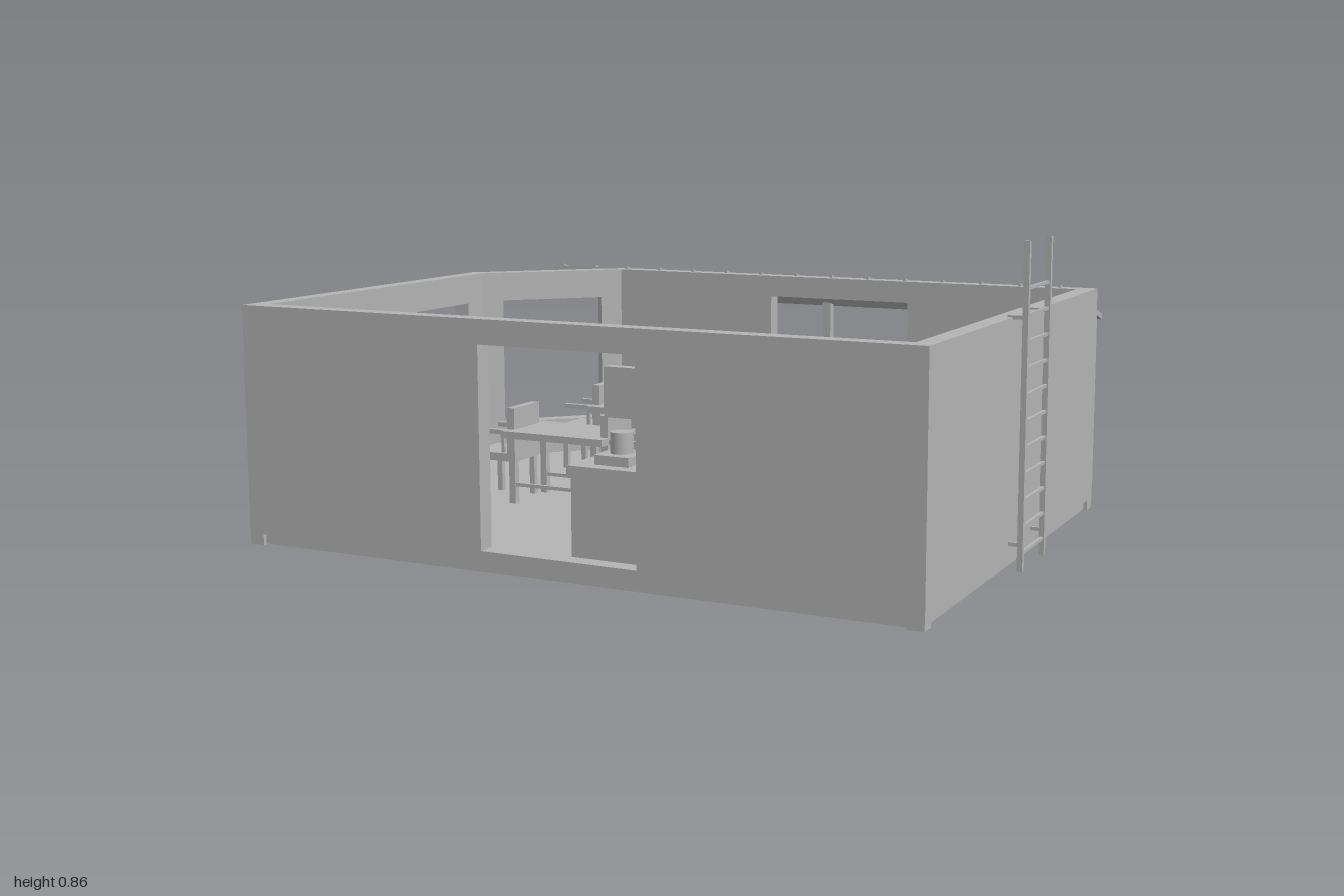
import * as THREE from 'three';

const grey = new THREE.MeshStandardMaterial({ color: 0xb4b4b4 });
grey.name = 'plain grey';
const T = 0.05; // wall thickness
const FLOOR = 0.06;

function add(parent, geo, name) {
  const m = new THREE.Mesh(geo, grey);
  m.name = name;
  parent.add(m);
  return m;
}
function group(parent, name) {
  const g = new THREE.Group();
  g.name = name;
  parent.add(g);
  return g;
}
// box given by its limits on each axis
function box(parent, name, x0, x1, y0, y1, z0, z1) {
  const m = add(parent, new THREE.BoxGeometry(x1 - x0, y1 - y0, z1 - z0), name);
  m.position.set((x0 + x1) / 2, (y0 + y1) / 2, (z0 + z1) / 2);
  return m;
}
function cyl(parent, name, r, y0, y1, x, z, sides = 20) {
  const m = add(parent, new THREE.CylinderGeometry(r, r, y1 - y0, sides), name);
  m.position.set(x, (y0 + y1) / 2, z);
  return m;
}
// room outline moved inwards by d
const outline = d => [
  [0.96 - d, 0.89 - d], [-1 + d, 0.89 - d], [-1 + d, -0.22 + 0.414 * d],
  [-0.64 + 0.414 * d, -0.58 + d], [0.96 - d, -0.58 + d],
];
function slab(parent, name, pts, y0, y1) {
  const shape = new THREE.Shape(pts.map(p => new THREE.Vector2(p[0], -p[1])));
  const geo = new THREE.ExtrudeGeometry(shape, { depth: y1 - y0, bevelEnabled: false });
  geo.rotateX(-Math.PI / 2);
  geo.translate(0, y0, 0);
  add(parent, geo, name);
}
// wall from a to b with one optional opening [s0, s1, y0, y1] and mitred ends
function wall(parent, name, a, b, k0, k1, hole) {
  const L = Math.hypot(b[0] - a[0], b[1] - a[1]);
  const rect = (s0, s1, y0, y1) =>
    [[s0, y0], [s1, y0], [s1, y1], [s0, y1]].map(p => new THREE.Vector2(...p));
  const shape = new THREE.Shape(rect(0, L, 0.03, 0.66));
  if (hole) shape.holes.push(new THREE.Path(rect(...hole).reverse()));
  const geo = new THREE.ExtrudeGeometry(shape, { depth: T, bevelEnabled: false });
  const p = geo.attributes.position;
  for (let i = 0; i < p.count; i++) {
    if (p.getZ(i) < T / 2) continue;
    if (p.getX(i) < 1e-5) p.setX(i, k0 * T);
    else if (p.getX(i) > L - 1e-5) p.setX(i, L - k1 * T);
  }
  const dir = new THREE.Vector3((b[0] - a[0]) / L, 0, (b[1] - a[1]) / L);
  const up = new THREE.Vector3(0, 1, 0);
  geo.applyMatrix4(new THREE.Matrix4().makeBasis(dir, up, dir.clone().cross(up)));
  geo.translate(a[0], 0, a[1]);
  geo.computeVertexNormals();
  add(parent, geo, name);
}

function buildRoom(root) {
  const room = group(root, 'room');
  const o = outline(0), q = 0.414;
  wall(room, 'frontWall', o[0], o[1], 1, 1, [0.75, 1.205, FLOOR, 0.595]);
  wall(room, 'leftSideWall', o[1], o[2], 1, q, [0.06, 1.01, 0.17, 0.57]);
  wall(room, 'angledWall', o[2], o[3], q, q, [0.09, 0.42, 0.17, 0.57]);
  wall(room, 'backWall', o[3], o[4], q, 1, [0.565, 1.025, FLOOR, 0.595]);
  wall(room, 'ladderWall', o[4], o[0], 1, 1);
  slab(room, 'floor', outline(T), 0.03, FLOOR);
  slab(room, 'base', outline(0.012), 0.002, 0.031);
  // feet under the corners
  for (const [x, z] of [[0.937, 0.867], [-0.977, 0.867], [0.937, -0.557]])
    box(room, 'foot', x - 0.022, x + 0.022, 0, 0.03, z - 0.022, z + 0.022);
  box(room, 'foot', -1, -0.965, 0, 0.03, -0.22, -0.18);
  box(room, 'foot', -0.64, -0.6, 0, 0.03, -0.58, -0.545);
  for (const z of [0.14, 0.48])
    box(room, 'windowBar', -0.98, -0.97, 0.17, 0.57, z - 0.005, z + 0.005);
}

function buildAwning(root) {
  const awning = group(root, 'awning');
  const slope = 0.32; // drop per unit of depth
  const y = z => 0.65 + (z + 0.58) * slope;
  // sloping sheet or rib running along z
  const strip = (name, x0, x1, z0, z1, lift, h) => {
    const g = new THREE.BoxGeometry(x1 - x0, h, z1 - z0);
    g.translate((x0 + x1) / 2, 0, (z0 + z1) / 2);
    const p = g.attributes.position;
    for (let i = 0; i < p.count; i++) p.setY(i, p.getY(i) + y(p.getZ(i)) + lift);
    g.computeVertexNormals();
    add(awning, g, name);
  };
  strip('awningSheet', -0.885, 0.895, -0.9, -0.579, -0.008, 0.016);
  strip('awningSheetEnd', -0.885, -0.64, -0.58, -0.54, -0.008, 0.016);
  for (let i = 0; i < 15; i++) {
    const x = -0.855 + i * 0.122;
    strip('awningRib', x - 0.004, x + 0.004, -0.83, -0.55, 0.004, 0.012);
  }
  for (const x of [-0.865, -0.02, 0.87])
    box(awning, 'awningPost', x - 0.014, x + 0.014, 0, 0.55, -0.882, -0.854);
}

function buildLadder(root) {
  const ladder = group(root, 'ladder');
  for (const z of [0.058, 0.256]) {
    box(ladder, 'ladderRail', 0.985, 1, 0, 0.855, z - 0.007, z + 0.007);
    for (const y of [0.07, 0.66])
      box(ladder, 'ladderBracket', 0.945, 0.99, y - 0.005, y + 0.005, z - 0.005, z + 0.005);
  }
  for (let i = 0; i < 11; i++) {
    const y = 0.047 + i * 0.0688;
    box(ladder, 'ladderRung', 0.988, 0.997, y - 0.004, y + 0.004, 0.06, 0.255);
  }
}

// chair with its back at x = 0 and its seat towards +x
function buildChair(parent, x, z, side) {
  const chair = group(parent, 'chair');
  chair.position.set(x, 0, z);
  if (side < 0) chair.rotation.y = Math.PI;
  box(chair, 'chairSeat', 0, 0.145, 0.175, 0.198, -0.068, 0.068);
  box(chair, 'chairBack', 0, 0.025, 0.198, 0.332, -0.068, 0.068);
  for (const s of [-1, 1]) {
    const c = s * 0.055;
    for (const lx of [0.014, 0.126])
      box(chair, 'chairLeg', lx - 0.008, lx + 0.008, FLOOR, 0.176, c - 0.008, c + 0.008);
    box(chair, 'armRest', 0.02, 0.13, 0.252, 0.265, c - 0.008, c + 0.008);
    box(chair, 'armPost', 0.04, 0.05, 0.197, 0.253, c - 0.005, c + 0.005);
  }
}

function buildTable(root, zc) {
  const set = group(root, 'diningSet');
  box(set, 'tableTop', -0.515, -0.18, 0.25, 0.27, zc - 0.102, zc + 0.102);
  for (const x of [-0.482, -0.213])
    for (const s of [-1, 1])
      box(set, 'tableLeg', x - 0.01, x + 0.01, FLOOR, 0.252, zc + s * 0.085 - 0.01, zc + s * 0.085 + 0.01);
  for (const s of [-1, 1])
    box(set, 'tableRail', -0.482, -0.213, 0.11, 0.12, zc + s * 0.085 - 0.005, zc + s * 0.085 + 0.005);
  buildChair(set, -0.205, zc, 1);
  buildChair(set, -0.49, zc, -1);
}

function buildCounter(root) {
  const c = group(root, 'counter');
  box(c, 'counterBody', -0.005, 0.79, FLOOR, 0.272, 0.655, 0.84);
  box(c, 'counterTop', -0.018, 0.8, 0.27, 0.295, 0.64, 0.84);
  for (let i = 0; i < 4; i++) {
    const x = 0.005 + i * 0.196;
    box(c, 'cupboardDoor', x, x + 0.184, 0.08, 0.262, 0.648, 0.656);
    box(c, 'doorHandle', x + 0.155, x + 0.165, 0.15, 0.215, 0.638, 0.649);
  }
  // small grinder and tall jar
  box(c, 'grinderBase', 0.04, 0.14, 0.295, 0.32, 0.69, 0.8);
  cyl(c, 'grinderDrum', 0.03, 0.32, 0.375, 0.09, 0.743);
  const profile = [[0, 0.295], [0.043, 0.295], [0.043, 0.42], [0.057, 0.425], [0.057, 0.44],
    [0.034, 0.5], [0.034, 0.515], [0, 0.515]].map(p => new THREE.Vector2(...p));
  const jarGeo = new THREE.LatheGeometry(profile, 24).toNonIndexed();
  jarGeo.computeVertexNormals();
  add(c, jarGeo, 'jar').position.set(0.215, 0, 0.738);
  // coffee machine with a sloping top, and its two spouts
  const side = new THREE.Shape([[0.67, 0.295], [0.805, 0.295], [0.805, 0.425], [0.78, 0.425],
    [0.67, 0.37]].map(p => new THREE.Vector2(-p[0], p[1])));
  const machine = new THREE.ExtrudeGeometry(side, { depth: 0.29, bevelEnabled: false });
  machine.rotateY(Math.PI / 2);
  machine.translate(0.378, 0, 0);
  add(c, machine, 'coffeeMachine');
  for (const x of [0.485, 0.6]) {
    cyl(c, 'spoutCup', 0.022, 0.3, 0.34, x, 0.632, 16);
    box(c, 'spoutArm', x - 0.005, x + 0.005, 0.325, 0.335, 0.61, 0.672);
    box(c, 'spoutBar', x - 0.043, x + 0.03, 0.33, 0.336, 0.629, 0.635);
  }
  // hanging wall cupboards
  for (const x of [0.08, 0.343, 0.61]) {
    box(c, 'wallCupboard', x, x + 0.21, 0.422, 0.55, 0.784, 0.815);
    box(c, 'wallCupboardHandle', x + 0.05, x + 0.16, 0.45, 0.457, 0.776, 0.785);
  }
}

function buildIsland(root) {
  const island = group(root, 'island');
  box(island, 'islandBody', 0.25, 0.445, FLOOR, 0.275, -0.22, 0.32);
  box(island, 'islandTop', 0.24, 0.455, 0.272, 0.295, -0.23, 0.33);
  for (const z of [-0.052, 0.193]) cyl(island, 'canister', 0.026, 0.295, 0.35, 0.348, z, 16);
}

export function createModel() {
  const root = new THREE.Group();
  root.name = 'cafeRoom';
  buildRoom(root);
  buildAwning(root);
  buildLadder(root);
  buildTable(root, -0.217);
  buildTable(root, 0.273);
  buildCounter(root);
  buildIsland(root);
  return root;
}
